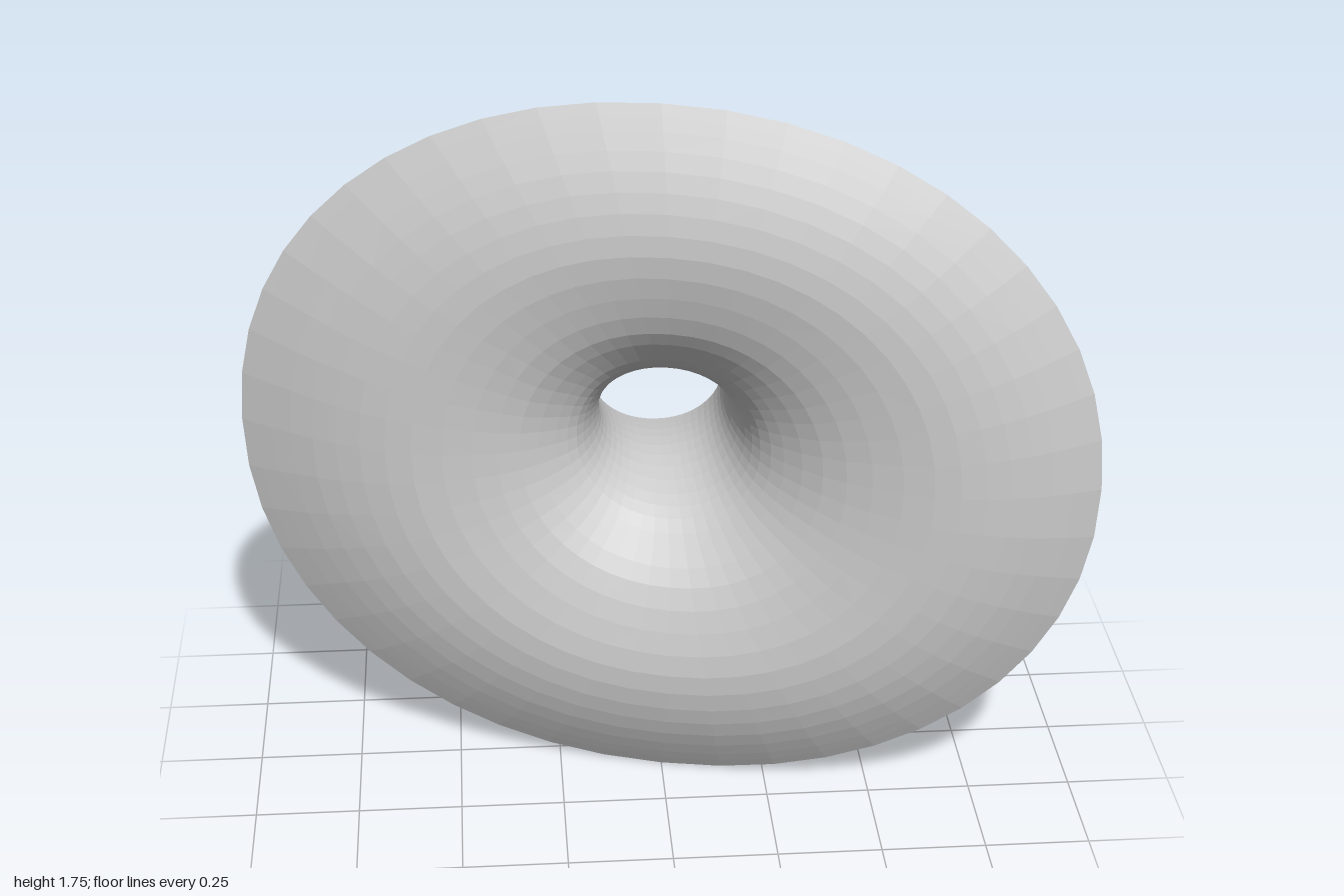
import * as THREE from 'three';
import { ParametricGeometry } from 'three/addons/geometries/ParametricGeometry.js';

// Profile from pipe end to rim: [half width, half height, depth, slant (0 = square to the pipe, 1 = along the rim)]
const PROFILE = [
  [0.167, 0.143, -0.36, 0], [0.158, 0.133, -0.28, 0], [0.154, 0.131, -0.19, 0.1],
  [0.161, 0.143, -0.1, 0.4], [0.185, 0.17, -0.01, 0.8], [0.215, 0.205, 0.05, 0.95],
  [0.265, 0.26, 0.1, 1], [0.35, 0.335, 0.155, 1], [0.46, 0.44, 0.192, 1],
  [0.6, 0.55, 0.21, 1], [0.72, 0.65, 0.198, 1], [0.83, 0.74, 0.167, 1],
  [0.93, 0.82, 0.125, 1], [1, 0.875, 0.092, 1],
];
const RIM_SLOPE = 0.252;

// Smooth curves through the profile
const sizeCurve = new THREE.CatmullRomCurve3(PROFILE.map(([w, h, d]) => new THREE.Vector3(w, h, d)));
const slantCurve = new THREE.SplineCurve(PROFILE.map(([w, , , s]) => new THREE.Vector2(w, s)));

// Slightly squared circle
const rounded = (v) => Math.sign(v) * Math.pow(Math.abs(v), 2 / 2.1);

function hornPoint(u, v, target) {
  const a = u * Math.PI * 2;
  const size = sizeCurve.getPoint(v);
  const slant = slantCurve.getPoint(v).y;
  const offset = 1 - size.x; // the pipe sits a little off centre
  const x = 0.024 * offset + size.x * rounded(Math.cos(a));
  const y = 0.875 + 0.008 * offset + size.y * rounded(Math.sin(a));
  target.set(x, y, size.z + RIM_SLOPE * slant * x);
}

export function createModel() {
  const group = new THREE.Group();
  group.name = 'flaredHorn';

  // One thin open sheet: pipe, throat, bell and turned-back rim
  const material = new THREE.MeshStandardMaterial({
    color: 0xcccccc, flatShading: true, side: THREE.DoubleSide,
  });
  const horn = new THREE.Mesh(new ParametricGeometry(hornPoint, 48, 26), material);
  horn.name = 'hornShell';
  group.add(horn);
  return group;
}
